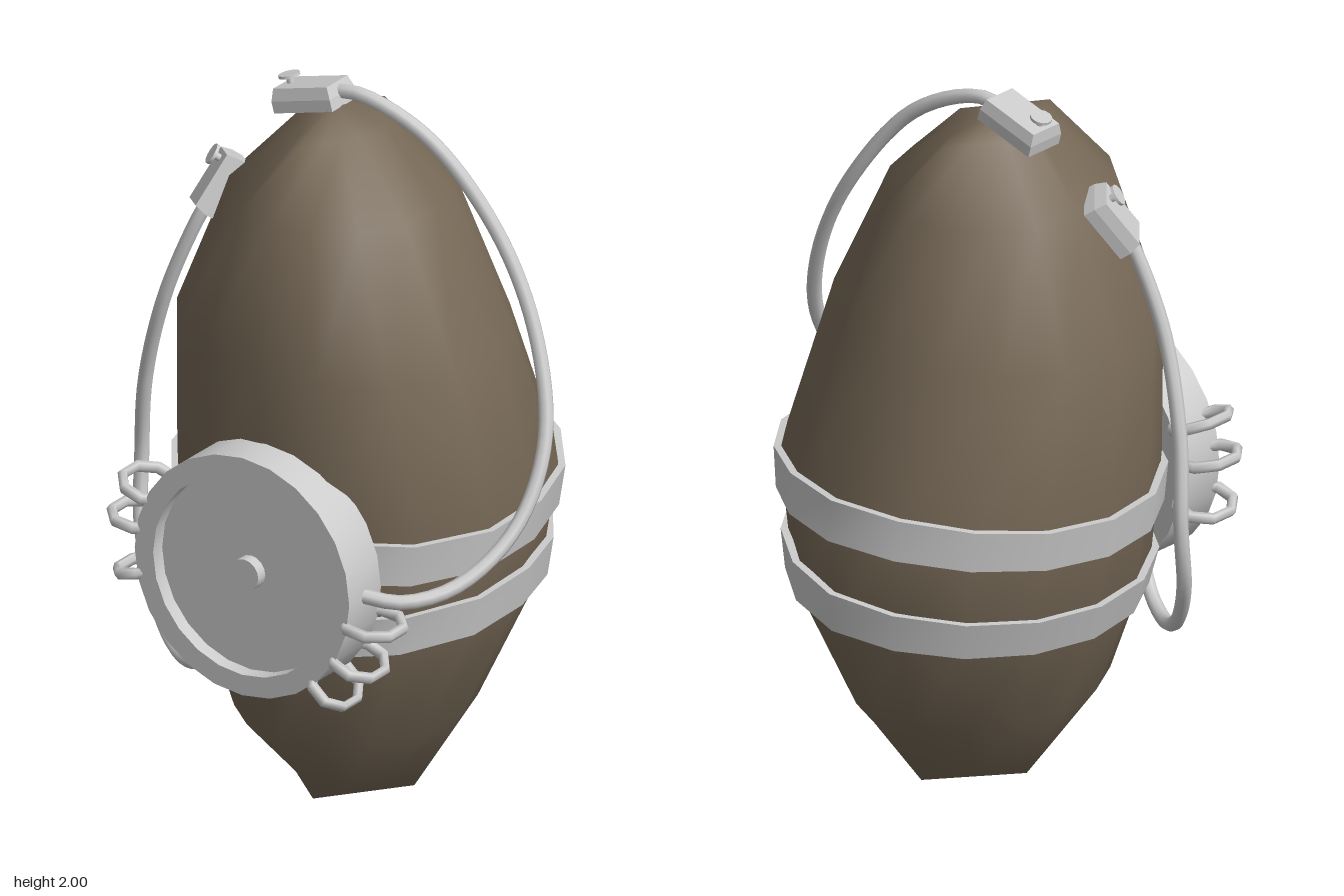
import * as THREE from 'three';
import { toCreasedNormals, mergeVertices } from 'three/addons/utils/BufferGeometryUtils.js';

const SEGMENTS = 16;
const V = (x, y, z) => new THREE.Vector3(x, y, z);

// Body cross-sections: height, right edge, left edge, front edge, back edge,
// and how far the outline is pinched from an oval (0) to a diamond (1)
const SECTIONS = [
  [0.005, 0, 0, 0, 0, 1],
  [0.06, -0.165, 0.175, 0.22, -0.22, 1],
  [0.29, -0.31, 0.315, 0.39, -0.4, 0.1],
  [0.63, -0.46, 0.46, 0.445, -0.55, 0],
  [0.96, -0.52, 0.52, 0.445, -0.56, 0],
  [1.36, -0.485, 0.44, 0.45, -0.42, 0],
  [1.73, -0.34, 0.26, 0.36, -0.33, 0.1],
  [1.9, -0.18, 0.085, 0.21, -0.19, 1],
  [1.95, -0.07, -0.07, 0, 0, 1],
];

// Point on the body at a height and an angle (0 = front), pushed out by offset
function bodyPoint(y, a, offset = 0) {
  let i = 0;
  while (i < SECTIONS.length - 2 && y > SECTIONS[i + 1][0]) i++;
  const t = (y - SECTIONS[i][0]) / (SECTIONS[i + 1][0] - SECTIONS[i][0]);
  const [, x0, x1, zf, zb, pinch] =
    SECTIONS[i].map((v, k) => THREE.MathUtils.lerp(v, SECTIONS[i + 1][k], t));
  const s = Math.sin(a), c = Math.cos(a);
  // left side is fuller in front and flatter at the back
  const skew = s > 0 ? (1 - pinch) * s * c * (c > 0 ? 0.22 : 0.1) : 0;
  const full = THREE.MathUtils.lerp(1, 1 / (Math.abs(s) + Math.abs(c)), pinch) + skew;
  return V(
    (x0 + x1) / 2 + s * (full * (x1 - x0) / 2 + offset), y,
    (zf + zb) / 2 + c * (full * (zf - zb) / 2 + offset));
}

// Skin over a stack of closed rings; point(row, angle) gives each vertex
function loft(rows, point) {
  const pos = [], index = [];
  for (let i = 0; i < rows; i++) {
    for (let j = 0; j < SEGMENTS; j++) {
      pos.push(...point(i, (j / SEGMENTS) * Math.PI * 2).toArray());
      if (i === rows - 1) continue;
      const k = (j + 1) % SEGMENTS;
      const a = i * SEGMENTS + j, b = i * SEGMENTS + k;
      index.push(a, b, b + SEGMENTS, a, b + SEGMENTS, a + SEGMENTS);
    }
  }
  const geo = new THREE.BufferGeometry();
  geo.setAttribute('position', new THREE.Float32BufferAttribute(pos, 3));
  geo.setIndex(index);
  const merged = mergeVertices(geo);
  merged.computeVertexNormals();
  return merged;
}

export function createModel() {
  const model = new THREE.Group();
  model.name = 'strappedPod';
  const grey = new THREE.MeshStandardMaterial({ color: 0xcccccc });
  const greyFlat = new THREE.MeshStandardMaterial({ color: 0xcccccc, flatShading: true });
  const brown = new THREE.MeshStandardMaterial({ color: 0x776957 });
  const add = (name, geo, mat = grey, parent = model) => {
    const mesh = new THREE.Mesh(geo, mat);
    mesh.name = name;
    parent.add(mesh);
    return mesh;
  };

  // Body
  add('body', loft(SECTIONS.length, (i, a) => bodyPoint(SECTIONS[i][0], a)), brown);

  // Straps: outer wall, top edge, inner wall, bottom edge
  const strap = (name, height, width) => {
    const profile = [[0.02, 0], [0.02, width], [-0.005, width], [-0.005, 0], [0.02, 0]];
    const geo = loft(5, (i, a) => {
      const [off, dy] = profile[i];
      return bodyPoint(height(a) + dy, a, off);
    });
    add(name, toCreasedNormals(geo, 0.7));
  };
  strap('upperStrap', a => 0.825 - 0.035 * Math.cos(a) + 0.02 * Math.cos(a) ** 2, 0.115);
  strap('lowerStrap', a => 0.595 + 0.035 * Math.sin(a) - 0.02 * Math.cos(a), 0.11);

  // Round dish on the front with a rim and a centre button
  const dish = new THREE.Group();
  dish.name = 'dish';
  dish.position.set(0.01, 0.817, 0.41);
  dish.rotation.x = Math.PI / 2;
  model.add(dish);
  const rim = [[0, 0], [0.338, 0], [0.338, 0.147], [0.28, 0.147], [0.28, 0.105], [0, 0.105]]
    .map(p => new THREE.Vector2(...p));
  add('dishCase', toCreasedNormals(new THREE.LatheGeometry(rim, 24), 0.6), grey, dish);
  const button = add('dishButton', new THREE.CylinderGeometry(0.045, 0.045, 0.035, 16), grey, dish);
  button.position.y = 0.12;

  // Wire loops through the rim: outer end, inner end
  const loops = [
    [-0.405, 0.995, -0.26, 0.945], [-0.44, 0.885, -0.28, 0.865], [-0.42, 0.72, -0.275, 0.755],
    [0.455, 0.735, 0.285, 0.755], [0.395, 0.6, 0.255, 0.66], [0.305, 0.495, 0.2, 0.59],
  ];
  loops.forEach(([x0, y0, x1, y1], i) => {
    const half = Math.hypot(x1 - x0, y1 - y0) / 2;
    const geo = new THREE.TorusGeometry(0.086, 0.016, 6, 8);
    geo.rotateZ(Math.PI / 8).scale((half + 0.006) / 0.098, 1, 1).rotateX(Math.PI / 2);
    const loop = add('wireLoop' + (i + 1), geo);
    loop.position.set((x0 + x1) / 2, (y0 + y1) / 2, 0.48);
    loop.rotation.z = Math.atan2(y0 - y1, x0 - x1);
  });

  // Cables
  const cable = (name, points) => {
    const curve = new THREE.CatmullRomCurve3(points.map(p => V(...p)));
    add(name, new THREE.TubeGeometry(curve, 48, 0.02, 8));
  };
  cable('leftCable', [
    [-0.1, 1.97, -0.01], [0, 1.975, -0.02], [0.19, 1.88, -0.055], [0.38, 1.63, -0.1],
    [0.51, 1.37, -0.08], [0.585, 1.13, 0], [0.582, 0.94, 0.13], [0.52, 0.825, 0.3],
    [0.43, 0.8, 0.43], [0.32, 0.82, 0.49],
  ]);
  cable('rightCable', [
    [-0.37, 1.65, 0.15], [-0.4, 1.58, 0.17], [-0.48, 1.37, 0.19], [-0.56, 1.1, 0.165],
    [-0.592, 0.865, 0.135], [-0.57, 0.68, 0.17], [-0.47, 0.52, 0.25], [-0.34, 0.44, 0.34],
    [-0.235, 0.455, 0.4], [-0.16, 0.53, 0.44],
  ]);

  // Cable plugs: bevelled block with a flat-headed knob at the far end
  const plug = (name, center, axis, normal, length) => {
    const group = new THREE.Group();
    group.name = name;
    const x = axis.clone().normalize();
    const z = x.clone().cross(normal).normalize();
    group.quaternion.setFromRotationMatrix(new THREE.Matrix4().makeBasis(x, z.clone().cross(x), z));
    group.position.copy(center);
    model.add(group);
    const geo = new THREE.BoxGeometry(length, 0.065, 0.115, 1, 2, 1);
    const p = geo.attributes.position;
    for (let i = 0; i < p.count; i++) {
      if (p.getY(i) > 0.01) p.setXYZ(i, p.getX(i) * 0.92, p.getY(i), p.getZ(i) * 0.84);
    }
    add(name + 'Block', geo, greyFlat, group);
    const knobX = -length * 0.33;
    add(name + 'Stem', new THREE.CylinderGeometry(0.01, 0.01, 0.03, 8), grey, group)
      .position.set(knobX, 0.042, 0);
    const head = add(name + 'Knob', new THREE.CylinderGeometry(0.029, 0.029, 0.008, 14), grey, group);
    head.position.set(knobX, 0.054, 0);
  };
  plug('topPlug', V(-0.15, 1.947, -0.008), V(1, 0.27, 0), V(-0.27, 1, 0), 0.19);
  plug('sidePlug', V(-0.36, 1.69, 0.12), V(-0.055, -0.15, 0.09), V(-0.6, 0.5, 0.45), 0.17);

  return model;
}
